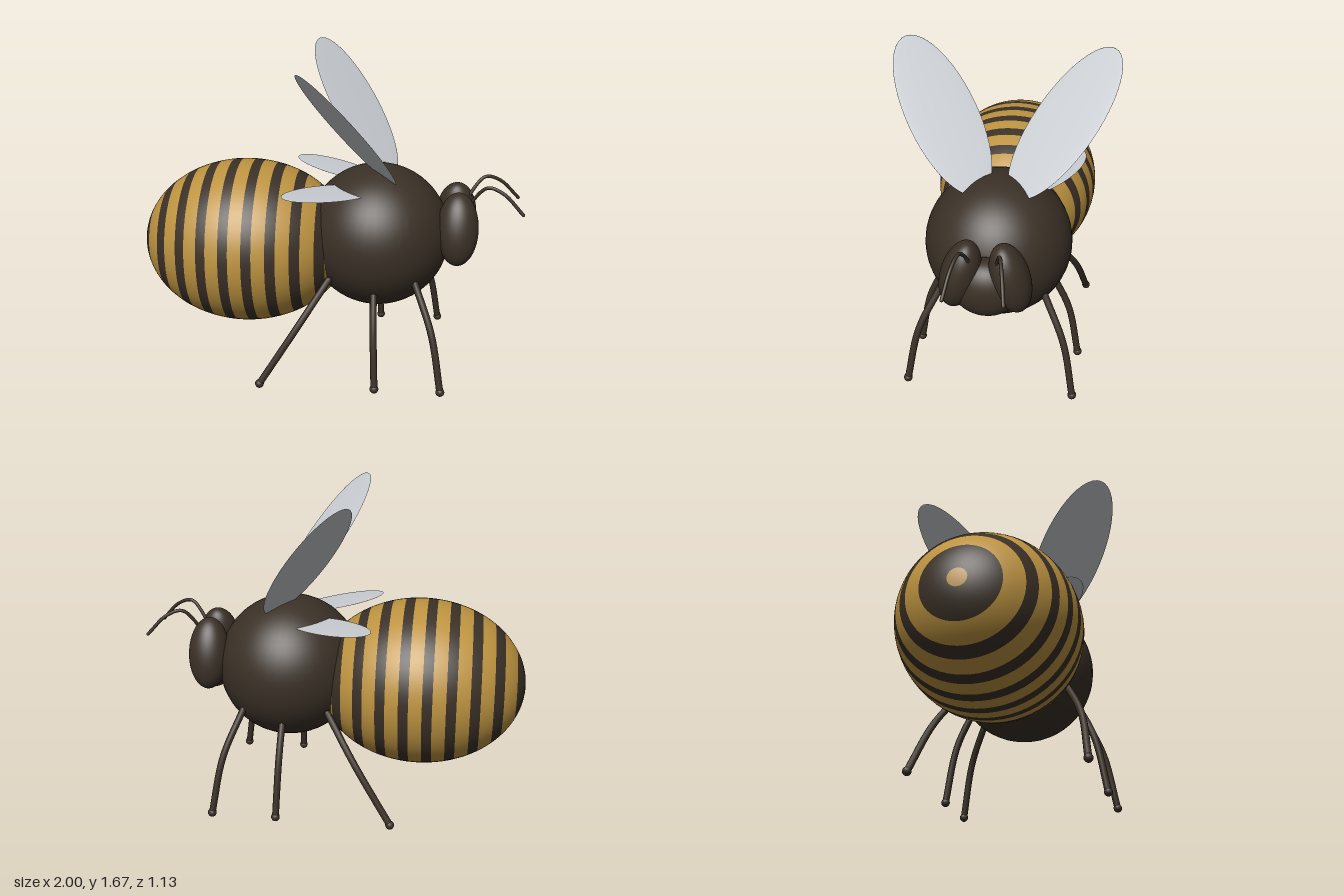
import * as THREE from 'three';

const material = (name, color) => new THREE.MeshStandardMaterial({ name, color });

export function createModel() {
  const bee = new THREE.Group();
  bee.name = 'bee';
  const dark = material('dark brown', 0x3a3026);
  const gold = material('honey gold', 0xbd9340);
  const wingGrey = material('pale wing grey', 0xc8ccd1);

  function add(name, geometry, mat, parent = bee) {
    const mesh = new THREE.Mesh(geometry, mat);
    mesh.name = name;
    parent.add(mesh);
    return mesh;
  }

  function ellipsoid(name, mat, centre, radii, tilt = 0) {
    const mesh = add(name, new THREE.SphereGeometry(1, 48, 32), mat);
    mesh.scale.set(...radii);
    mesh.position.set(...centre);
    mesh.rotation.x = tilt;
    return mesh;
  }

  // Round-ended tube through a few points
  function limb(name, points, radius, endRadius) {
    const group = new THREE.Group();
    group.name = name;
    const path = points.map((p) => new THREE.Vector3(...p));
    const curve = new THREE.CatmullRomCurve3(path);
    add(name + 'Tube', new THREE.TubeGeometry(curve, 28, radius, 12), dark, group);
    [[path[0], radius], [path[path.length - 1], endRadius]].forEach(([p, r]) => {
      add(name + 'End', new THREE.SphereGeometry(r, 14, 10), dark, group).position.copy(p);
    });
    bee.add(group);
  }

  // Flat elliptical wing: long and wide are its axes, lengths its half sizes
  function wing(name, centre, long, wide, lengths, side) {
    const a = new THREE.Vector3(long[0], long[1], long[2] * side).normalize();
    const w = new THREE.Vector3(wide[0], wide[1], wide[2] * side);
    const n = new THREE.Vector3().crossVectors(a, w).normalize();
    const b = new THREE.Vector3().crossVectors(n, a);
    const mesh = add(name, new THREE.SphereGeometry(1, 48, 24), wingGrey);
    mesh.scale.set(lengths[0], lengths[1], 0.004);
    mesh.quaternion.setFromRotationMatrix(new THREE.Matrix4().makeBasis(a, b, n));
    mesh.position.set(centre[0], centre[1], centre[2] * side);
  }

  // Abdomen: ellipsoid cut into even stripes, from the tail forwards
  const abdomen = new THREE.Group();
  abdomen.name = 'abdomen';
  abdomen.position.set(-0.45, 0.66, 0);
  abdomen.scale.set(0.55, 0.435, 0.447);
  bee.add(abdomen);
  const edges = [-1];
  for (let i = 0; i < 9; i++) {
    const x = -0.974 + i * 0.117;
    edges.push((x - 0.023 + 0.45) / 0.55, (x + 0.027 + 0.45) / 0.55);
  }
  edges.push(1);
  for (let i = 0; i < edges.length - 1; i++) {
    const start = Math.acos(-edges[i]);
    const length = Math.acos(-edges[i + 1]) - start;
    const band = new THREE.SphereGeometry(1, 64, 5, 0, Math.PI * 2, start, length);
    band.rotateZ(Math.PI / 2);
    add(i % 2 ? 'darkStripe' : 'goldStripe', band, i % 2 ? dark : gold, abdomen);
  }

  // Thorax and head
  ellipsoid('thorax', dark, [0.25, 0.718, 0], [0.38, 0.378, 0.378]);
  ellipsoid('head', dark, [0.66, 0.73, 0], [0.11, 0.155, 0.17]);

  for (const side of [1, -1]) {
    const s = side > 0 ? 'left' : 'right';
    // Large eyes leaning together at the top
    ellipsoid(s + 'Eye', dark, [0.665, 0.8, side * 0.122], [0.107, 0.19, 0.095], -0.26 * side);

    limb(s + 'Antenna', [[0.71, 0.88, 0.06], [0.75, 0.96, 0.075], [0.81, 1.02, 0.095],
      [0.89, 0.995, 0.115], [0.99, 0.895, 0.138]].map(([x, y, z]) => [x, y, z * side]), 0.009, 0.009);

    // Three legs sharing one outward bend
    [['front', 0.455, 0.545, 0.6], ['middle', 0.243, 0.25, 0.262], ['rear', 0.01, -0.145, -0.335]]
      .forEach(([name, top, knee, foot]) => {
        limb(s + name + 'Leg', [[top, 0.55, 0.265 * side], [knee, 0.32, 0.375 * side],
          [foot, 0.023, 0.435 * side]], 0.018, 0.023);
      });

    wing(s + 'Forewing', [0.108, 1.345, 0.303], [-0.466, 0.731, 0.501], [0.636, -0.119, 0.765], [0.44, 0.186], side);
    wing(s + 'Hindwing', [0.015, 1.01, 0.225], [-0.82, 0.067, 0.565], [0.567, -0.045, 0.82], [0.27, 0.118], side);
  }
  return bee;
}
